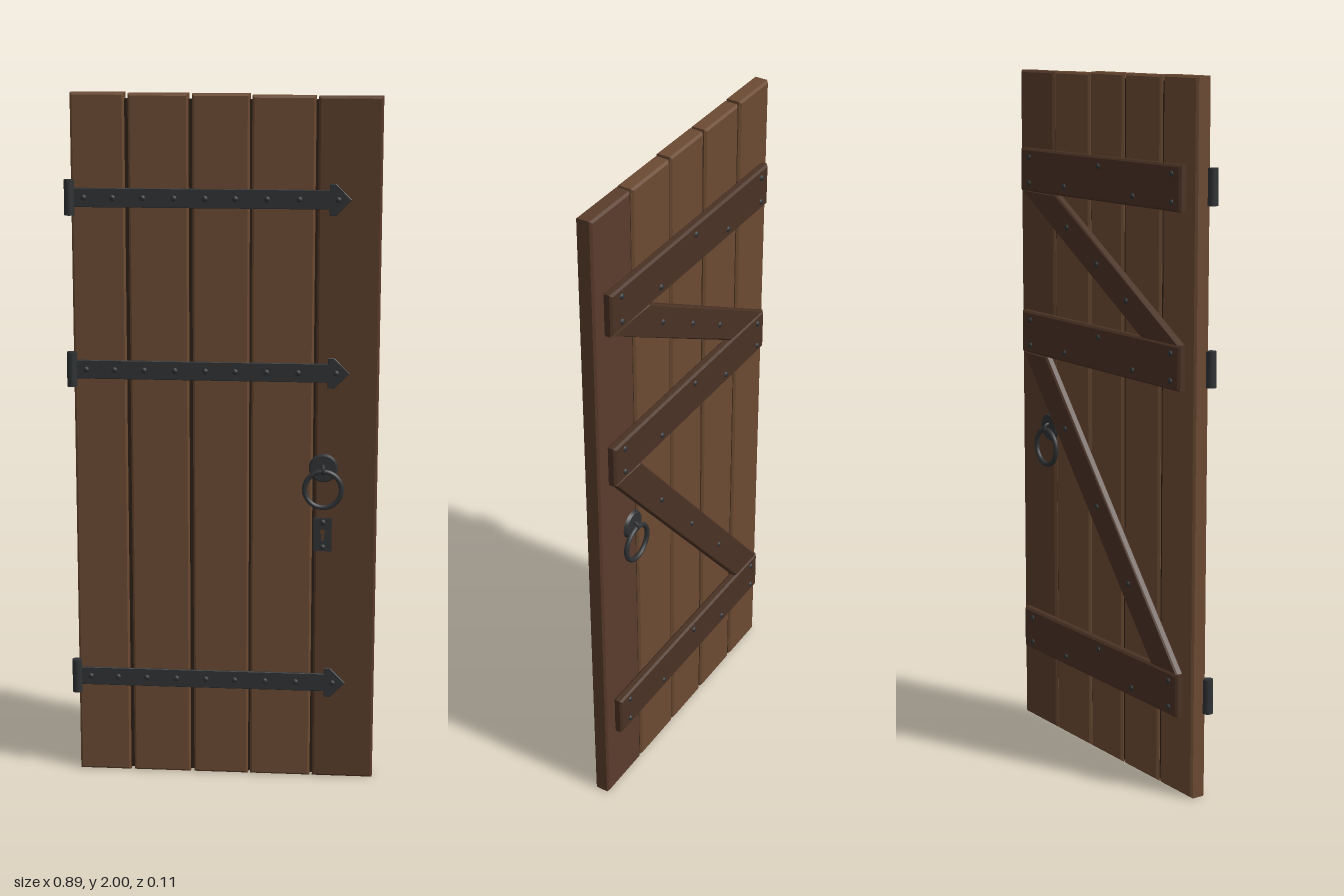
import * as THREE from 'three';

const paint = (color) => new THREE.MeshStandardMaterial({ color });

export function createModel() {
  const door = new THREE.Group();
  door.name = 'plankDoor';
  const plankWood = paint(0x6b4a32), darkPlank = paint(0x5a3c2b);
  const braceWood = paint(0x4a3224), seamWood = paint(0x2c1f16), iron = paint(0x2f3234);

  const add = (name, geometry, material, x = 0, y = 0, z = 0, parent = door) => {
    const mesh = new THREE.Mesh(geometry, material);
    mesh.name = name;
    mesh.position.set(x, y, z);
    parent.add(mesh);
    return mesh;
  };

  // Flat outline extruded from z0 to z1 with chamfered edges
  const slab = (outline, z0, z1, bevel, hole) => {
    const shape = new THREE.Shape(outline.map(([x, y]) => new THREE.Vector2(x, y)));
    if (hole) shape.holes.push(hole);
    const geometry = new THREE.ExtrudeGeometry(shape, {
      depth: z1 - z0 - 2 * bevel, bevelEnabled: bevel > 0, bevelThickness: bevel,
      bevelSize: bevel, bevelOffset: -bevel, bevelSegments: 1, curveSegments: 10,
    });
    return geometry.translate(0, 0, z0 + bevel);
  };
  const rect = (x0, x1, y0, y1) => [[x0, y0], [x1, y0], [x1, y1], [x0, y1]];

  // Domed nail head; side is +1 for the front and -1 for the back
  const dome = new THREE.SphereGeometry(0.009, 10, 4, 0, Math.PI * 2, 0, Math.PI / 2).rotateX(Math.PI / 2);
  const stud = (x, y, z, side, parent = door) => {
    const mesh = add('stud', dome, iron, x, y, z, parent);
    mesh.scale.z = 0.75;
    if (side < 0) mesh.rotation.y = Math.PI;
  };

  // Vertical planks with recessed seams between them
  const planks = [
    [-0.427, -0.275, 2], [-0.265, -0.096, 1.998], [-0.086, 0.075, 1.998],
    [0.081, 0.258, 1.994], [0.265, 0.443, 1.993],
  ];
  planks.forEach(([x0, x1, top], i) => {
    add('plank', slab(rect(x0, x1, 0, top), -0.02, 0.028, 0.006), i === 4 ? darkPlank : plankWood);
    if (i < 4) {
      const next = planks[i + 1][0];
      add('seam', new THREE.BoxGeometry(next - x1 + 0.008, 1.975, 0.032), seamWood, (x1 + next) / 2, 0.995, 0.004);
    }
  });

  // Horizontal ledges on the back, nailed in a zigzag
  const ledgeHeights = [0.295, 1.222, 1.705];
  ledgeHeights.forEach((y) => {
    add('ledge', slab(rect(-0.39, 0.404, y - 0.063, y + 0.063), -0.047, -0.02, 0.006), braceWood);
    for (const [x, dy] of [[-0.352, -0.038], [-0.352, 0.038], [-0.173, -0.035], [-0.005, 0.035],
      [0.17, -0.035], [0.356, -0.038], [0.356, 0.038]]) stud(x, y + dy, -0.046, -1);
  });

  // Diagonal braces between the ledges
  const brace = (low, high, cut) => {
    const outline = [[-0.387, low], [-0.387 + cut, low], [0.4, high], [0.4 - cut, high]];
    add('diagonalBrace', slab(outline, -0.045, -0.02, 0.005), braceWood);
    for (const t of [0.26, 0.5, 0.75]) {
      stud(-0.387 + cut / 2 + t * (0.787 - cut), low + t * (high - low), -0.044, -1);
    }
  };
  brace(0.356, 1.161, 0.125);
  brace(1.283, 1.644, 0.18);

  // Strap hinges with arrow tips and barrels
  const strapOutline = [
    [-0.432, -0.027], [0.298, -0.027], [0.298, -0.044], [0.316, -0.044], [0.36, 0],
    [0.316, 0.044], [0.298, 0.044], [0.298, 0.027], [-0.432, 0.027],
  ];
  const strapGeometry = slab(strapOutline, 0.027, 0.034, 0.0015);
  const barrelGeometry = new THREE.CylinderGeometry(0.0145, 0.0145, 0.1, 16);
  for (const y of [0.295, 1.22, 1.71]) {
    const hinge = new THREE.Group();
    hinge.name = 'strapHinge';
    hinge.position.y = y;
    door.add(hinge);
    add('strap', strapGeometry, iron, 0, 0, 0, hinge);
    add('hingeBarrel', barrelGeometry, iron, -0.432, 0, 0.031, hinge);
    for (const x of [-0.391, -0.31, -0.225, -0.137, -0.05, 0.035, 0.124, 0.214, 0.322]) stud(x, 0, 0.0335, 1, hinge);
  }

  // Ring pulls on both faces
  const roseGeometry = new THREE.CylinderGeometry(0.037, 0.042, 0.009, 24).rotateX(Math.PI / 2);
  const ringGeometry = new THREE.TorusGeometry(0.053, 0.0075, 8, 32);
  const stapleGeometry = new THREE.TorusGeometry(0.012, 0.005, 8, 16).rotateY(Math.PI / 2);
  for (const side of [1, -1]) {
    const pull = new THREE.Group();
    pull.name = side > 0 ? 'frontRingPull' : 'backRingPull';
    pull.position.set(0.289, 0.883, side > 0 ? 0.028 : -0.02);
    if (side < 0) pull.rotation.y = Math.PI;
    door.add(pull);
    add('rose', roseGeometry, iron, 0, 0.06, 0.0045, pull);
    add('staple', stapleGeometry, iron, 0, 0.057, 0.01, pull);
    add('ring', ringGeometry, iron, 0, 0, 0.016, pull);
  }

  // Keyhole plate
  const keyhole = new THREE.Path();
  keyhole.moveTo(0.284, 0.728).lineTo(0.286, 0.748);
  keyhole.absarc(0.289, 0.754, 0.008, Math.PI * 1.35, Math.PI * 1.65, true);
  keyhole.lineTo(0.294, 0.728);
  keyhole.closePath();
  add('keyholePlate', slab(rect(0.263, 0.315, 0.697, 0.795), 0.027, 0.035, 0, keyhole), iron);
  for (const y of [0.709, 0.783]) stud(0.289, y, 0.0345, 1);

  return door;
}
